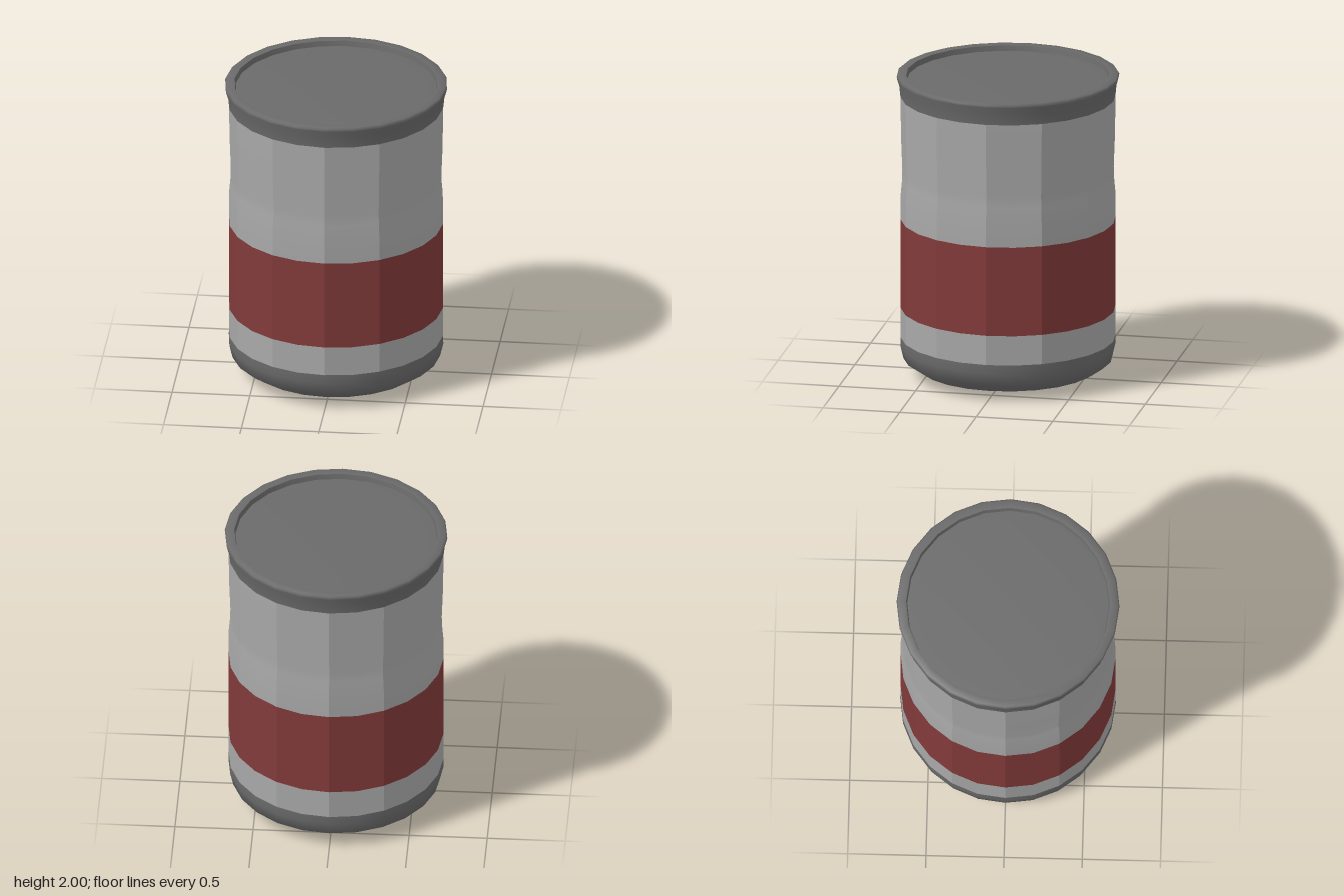
import * as THREE from 'three';
import { toCreasedNormals } from 'three/addons/utils/BufferGeometryUtils.js';

const SIDES = 24;
const PANEL = Math.PI / 6; // two neighbouring sides share one shading panel

// Revolves a bottom-to-top profile of [radius, height]
function lathe(profile) {
  return new THREE.LatheGeometry(profile.map(([r, y]) => new THREE.Vector2(r, y)), SIDES);
}

function part(name, color, geometry) {
  const mesh = new THREE.Mesh(geometry, new THREE.MeshStandardMaterial({ color }));
  mesh.name = name;
  return mesh;
}

// Smoothly shaded ring or cap
function turned(name, color, profile) {
  return part(name, color, toCreasedNormals(lathe(profile), 1));
}

// Wall shaded as 12 flat panels around, but smooth up and down
function panelled(name, color, profile) {
  const geometry = lathe(profile).toNonIndexed();
  const { position: p, normal: n } = geometry.attributes;
  for (let i = 0; i < p.count; i += 3) {
    const x = p.getX(i) + p.getX(i + 1) + p.getX(i + 2);
    const z = p.getZ(i) + p.getZ(i + 1) + p.getZ(i + 2);
    const angle = (Math.floor(Math.atan2(x, z) / PANEL) + 0.5) * PANEL;
    for (let j = i; j < i + 3; j++) {
      const h = Math.hypot(n.getX(j), n.getZ(j));
      n.setXYZ(j, h * Math.sin(angle), n.getY(j), h * Math.cos(angle));
    }
  }
  return part(name, color, geometry);
}

export function createModel() {
  const model = new THREE.Group();
  model.name = 'can';
  const grey = 0xa8a8a8, darkGrey = 0x6a6a6a, red = 0x823a3a;

  // Rounded base with a shallow pointed underside
  model.add(turned('underside', darkGrey, [[0, 0], [0.575, 0.05]]));
  model.add(turned('base', darkGrey, [[0.575, 0.05], [0.67, 0.115], [0.69, 0.2], [0.688, 0.255]]));

  // Wall in three bands, the upper one with a slight waist
  model.add(panelled('lowerWall', grey, [[0.688, 0.255], [0.688, 0.45]]));
  model.add(panelled('redBand', red, [[0.688, 0.45], [0.688, 1.04]]));
  model.add(panelled('upperWall', grey, [
    [0.688, 1.04], [0.688, 1.2], [0.679, 1.3], [0.677, 1.37], [0.685, 1.58], [0.689, 1.855],
  ]));

  // Flared rim, rolled over to its inner edge
  model.add(turned('rim', darkGrey, [
    [0.689, 1.855], [0.697, 1.93], [0.711, 1.975], [0.713, 1.99],
    [0.703, 2], [0.652, 1.997], [0.645, 1.962],
  ]));

  // Slightly sunken lid
  model.add(turned('lid', darkGrey, [[0.645, 1.962], [0.58, 1.966], [0, 1.968]]));

  return model;
}
